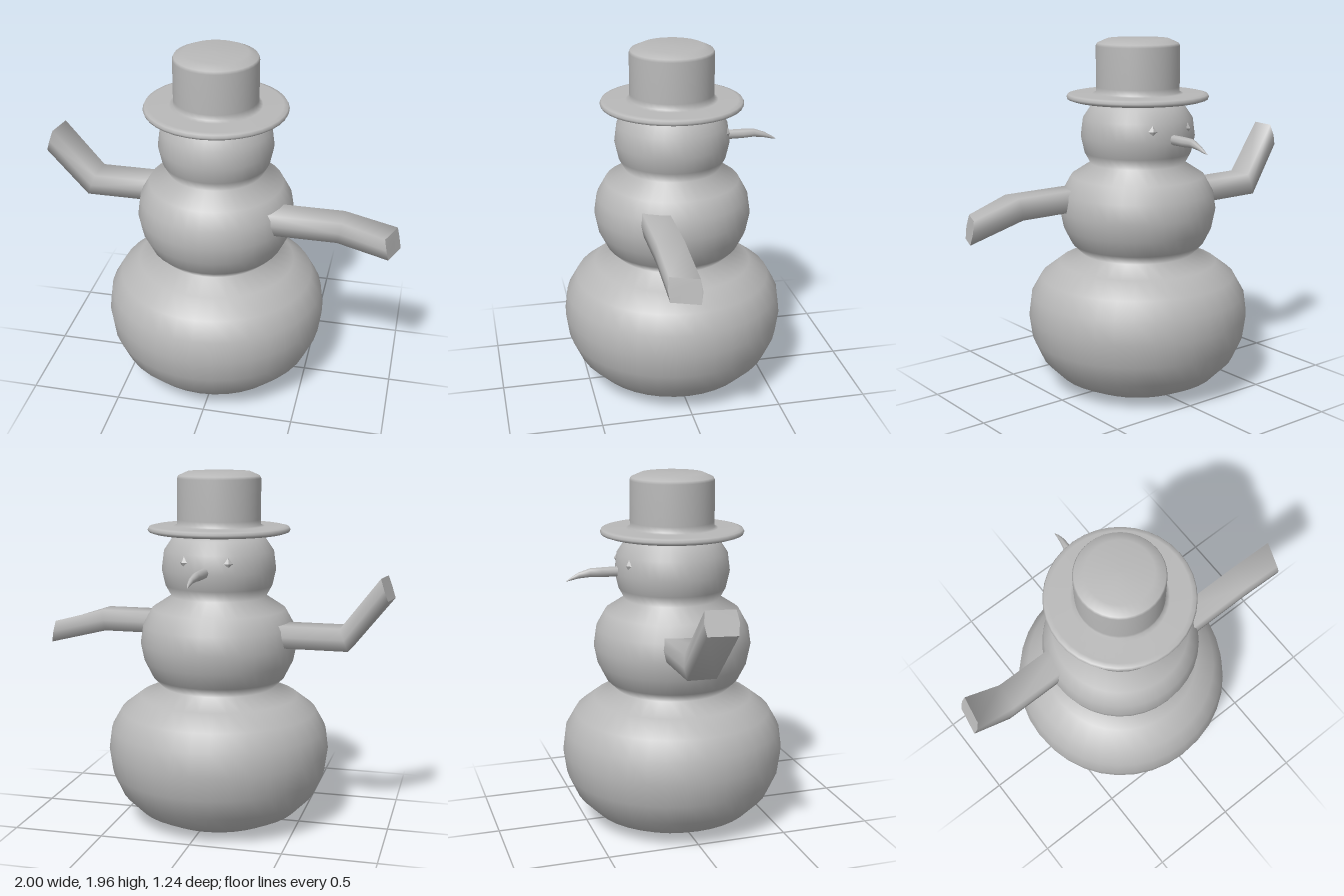
import * as THREE from 'three';

const snowGrey = new THREE.MeshStandardMaterial({ color: 0xb8b8b8 });
snowGrey.name = 'snowGrey';
const AXIS = -0.033; // x of the body's axis

function add(group, geometry, name) {
  const mesh = new THREE.Mesh(geometry, snowGrey);
  mesh.name = name;
  group.add(mesh);
  return mesh;
}

function turned(points) {
  const g = new THREE.LatheGeometry(points.map(([r, y]) => new THREE.Vector2(r, y)), 36);
  return g.translate(AXIS, 0, 0);
}

// Skins rings of equal length (clockwise seen from the tip) and caps the last one
function skin(rings, mirrored, cap = true) {
  const n = rings[0].length, pos = rings.flat(2), index = [];
  const tri = (a, b, c) => index.push(...(mirrored ? [a, c, b] : [a, b, c]));
  for (let r = 0; r < rings.length - 1; r++) {
    for (let i = 0; i < n; i++) {
      const a = r * n + i, b = r * n + (i + 1) % n;
      tri(a, a + n, b);
      tri(b, a + n, b + n);
    }
  }
  if (cap) {
    const start = pos.length / 3;
    pos.push(...rings[rings.length - 1].flat());
    for (let i = 1; i < n - 1; i++) tri(start, start + i + 1, start + i);
  }
  const g = new THREE.BufferGeometry();
  g.setAttribute('position', new THREE.Float32BufferAttribute(pos, 3));
  g.setIndex(index);
  g.computeVertexNormals();
  return g;
}

// Boxy arm section: top and bottom (x, y), z range, x shift of the rear (+z) edge
function armRing([tx, ty, bx, by, z0, z1, skew]) {
  const mx = (tx + bx) / 2, my = (ty + by) / 2;
  return [
    [tx, ty, z0 + 0.01], [mx, my, z0], [bx, by, z0 + 0.01],
    [bx + skew, by, z1 - 0.01], [mx + skew, my, z1], [tx + skew, ty, z1 - 0.01],
  ];
}

export function createModel() {
  const model = new THREE.Group();
  model.name = 'snowman';

  // Three stacked snowballs as one smooth body
  add(model, turned([
    [0, 0.005], [0.22, 0.005], [0.34, 0.022], [0.45, 0.075], [0.545, 0.17], [0.6, 0.29],
    [0.618, 0.42], [0.602, 0.54], [0.545, 0.64], [0.44, 0.72], [0.315, 0.775],
    [0.37, 0.83], [0.415, 0.92], [0.435, 1.02], [0.42, 1.12], [0.37, 1.21], [0.262, 1.28],
    [0.295, 1.34], [0.315, 1.43], [0.302, 1.53], [0.255, 1.6], [0.2, 1.632], [0, 1.632],
  ]), 'body');

  // Top hat
  add(model, turned([
    [0, 1.625], [0.2, 1.626], [0.36, 1.626], [0.385, 1.634], [0.39, 1.646], [0.383, 1.66],
    [0.36, 1.665], [0.25, 1.664], [0.229, 1.67], [0.229, 1.7], [0.229, 1.92],
    [0.222, 1.935], [0.17, 1.958], [0, 1.96],
  ]), 'topHat');

  // Arms, each bent at the elbow
  add(model, skin([
    [0.28, 1.15, 0.28, 1.03, 0.08, 0.24, 0],
    [0.69, 1.15, 0.67, 1.03, 0.08, 0.24, 0],
    [0.975, 1.075, 1.0, 0.95, 0.065, 0.228, -0.055],
  ].map(armRing), false), 'leftArm');
  add(model, skin([
    [-0.28, 1.15, -0.28, 1.03, -0.17, 0, 0],
    [-0.73, 1.15, -0.775, 1.03, -0.17, 0, -0.01],
    [-0.935, 1.42, -0.975, 1.3, -0.14, 0.03, -0.025],
  ].map(armRing), true), 'rightArm');

  // Curved tapering carrot nose: x, y, z, half width, half height
  const noseRings = [
    [-0.03, 1.44, -0.27, 0.026, 0.028], [-0.03, 1.44, -0.4, 0.026, 0.027],
    [-0.028, 1.441, -0.46, 0.021, 0.024], [-0.02, 1.428, -0.52, 0.014, 0.016],
    [-0.018, 1.412, -0.56, 0.008, 0.009], [-0.02, 1.4, -0.588, 0.001, 0.001],
  ].map(([x, y, z, w, h]) => Array.from({ length: 8 }, (_, i) => {
    const a = i * Math.PI / 4;
    return [x + w * Math.cos(a), y + h * Math.sin(a), z];
  }));
  add(model, skin(noseRings, false), 'nose');

  // Diamond eyes
  for (const side of [1, -1]) {
    const eye = add(model, new THREE.OctahedronGeometry(0.036), side > 0 ? 'leftEye' : 'rightEye');
    const angle = side * 0.41;
    eye.scale.set(1, 1, 0.55);
    eye.rotation.y = -angle;
    eye.position.set(AXIS + 0.3 * Math.sin(angle), 1.49, -0.3 * Math.cos(angle));
  }
  return model;
}
